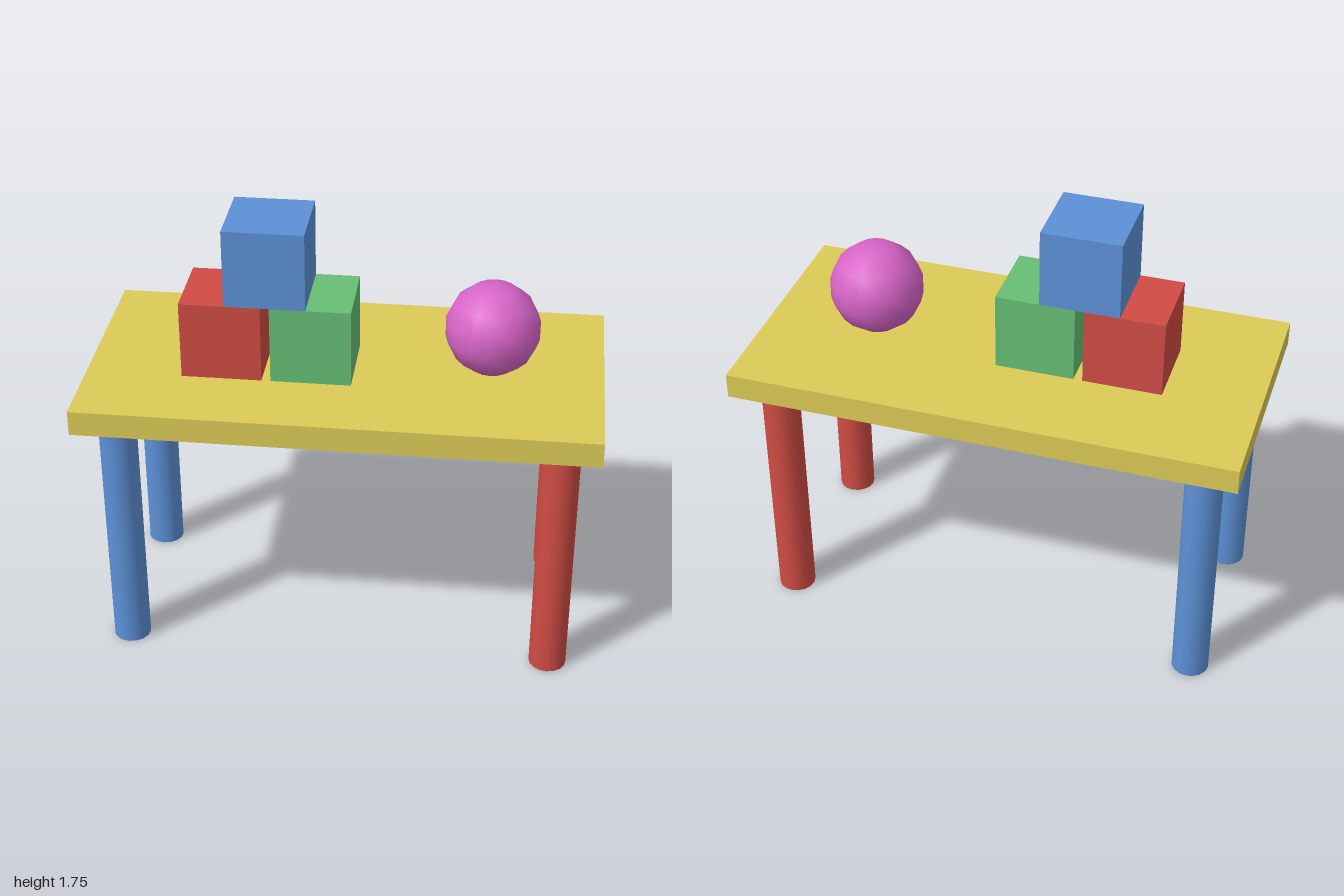
import * as THREE from 'three';

const material = (color) => new THREE.MeshStandardMaterial({ color });

export function createModel() {
  const model = new THREE.Group();
  model.name = 'tableWithToys';

  const yellow = material(0xdccb57);
  const red = material(0xd04c44);
  const blue = material(0x5c90d6);
  const green = material(0x66be74);
  const pink = material(0xd865c8);

  const add = (name, geometry, mat, x, y, z) => {
    const mesh = new THREE.Mesh(geometry, mat);
    mesh.name = name;
    mesh.position.set(x, y, z);
    model.add(mesh);
  };

  // Table top
  const legHeight = 1.03, topThickness = 0.1;
  const surface = legHeight + topThickness;
  add('tableTop', new THREE.BoxGeometry(2, topThickness, 1), yellow, 0, legHeight + topThickness / 2, 0);

  // Legs: red on the model's left, blue on its right
  const leg = new THREE.CylinderGeometry(0.074, 0.074, legHeight, 16);
  for (const sx of [-1, 1]) {
    for (const sz of [-1, 1]) {
      const name = (sz > 0 ? 'front' : 'back') + (sx > 0 ? 'Left' : 'Right') + 'Leg';
      add(name, leg, sx > 0 ? red : blue, sx * 0.85, legHeight / 2, sz * 0.35);
    }
  }

  // Stacked toy blocks
  const size = 0.312, blockZ = 0.028;
  const block = new THREE.BoxGeometry(size, size, size);
  add('redBlock', block, red, -0.469, surface + size / 2, blockZ);
  add('greenBlock', block, green, -0.122, surface + size / 2, blockZ);
  add('blueBlock', block, blue, -0.295, surface + size * 1.5, blockZ);

  // Ball
  const radius = 0.186;
  add('ball', new THREE.SphereGeometry(radius, 16, 7), pink, 0.562, surface + radius, 0);

  return model;
}
